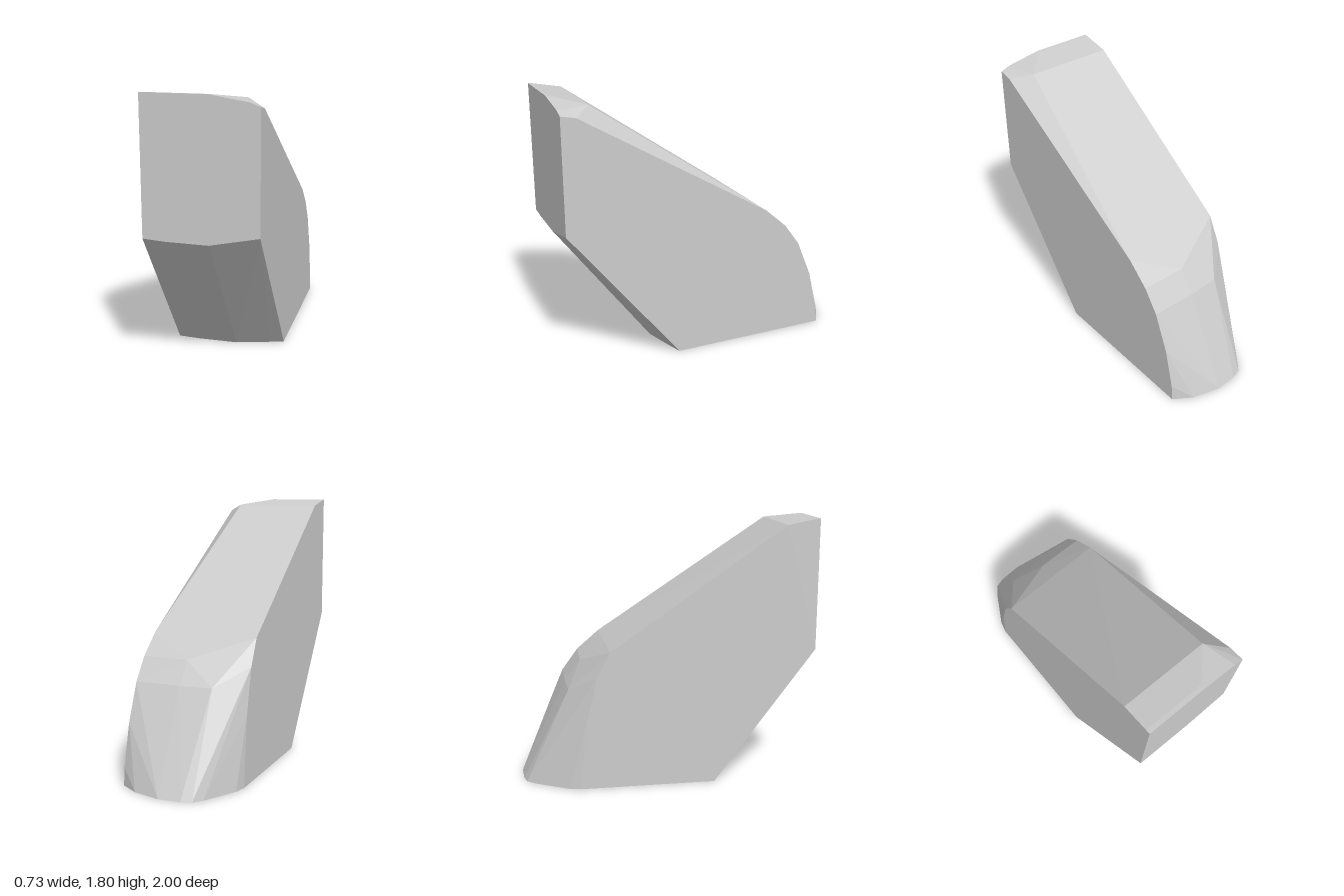
import * as THREE from 'three';
import { ConvexGeometry } from 'three/addons/geometries/ConvexGeometry.js';

// Faceted wedge block: side profiles [z, y], placed at several x stations and hulled.
const sections = [
  // flat left-hand side as seen from the front
  { x: -0.365, profile: [[1, 0.915], [1, 1.8], [0.97, 1.797], [0.78, 1.76], [-0.4, 0.945], [-0.49, 0.77], [-0.56, 0.47], [-0.61, 0], [0.31, 0]] },
  // rounded back corner
  { x: -0.345, profile: [[-0.69, 0]] },
  { x: -0.22, profile: [[-0.91, 0], [0.325, 0], [1, 0.905]] },
  { x: -0.17, profile: [[-0.67, 0.65], [-0.97, 0]] },
  { x: -0.1, profile: [[-0.99, 0]] },
  // fullest section
  { x: 0.05, profile: [[1, 0.9], [1, 1.8], [0.97, 1.797], [-0.575, 0.8], [-0.685, 0.65], [-1, 0], [0.33, 0]] },
  // top chamfer and lower front facet
  { x: 0.24, profile: [[0.78, 1.76], [-0.95, 0]] },
  { x: 0.275, profile: [[0.265, 0]] },
  { x: 0.3, profile: [[1, 1.76]] },
  // flat opposite side
  { x: 0.365, profile: [[1, 0.965], [1, 1.735], [0.9, 1.715], [-0.42, 0.935], [-0.575, 0.8], [-0.685, 0.65], [-0.79, 0.4], [-0.86, 0.12], [-0.87, 0], [0.235, 0]] },
];

export function createModel() {
  const group = new THREE.Group();
  group.name = 'wedgeBlock';

  const stone = new THREE.MeshStandardMaterial({ color: 0xcccccc });
  stone.name = 'light grey';

  const points = sections.flatMap(({ x, profile }) =>
    profile.map(([z, y]) => new THREE.Vector3(x, y, z)));
  const body = new THREE.Mesh(new ConvexGeometry(points), stone);
  body.name = 'body';
  group.add(body);

  return group;
}
